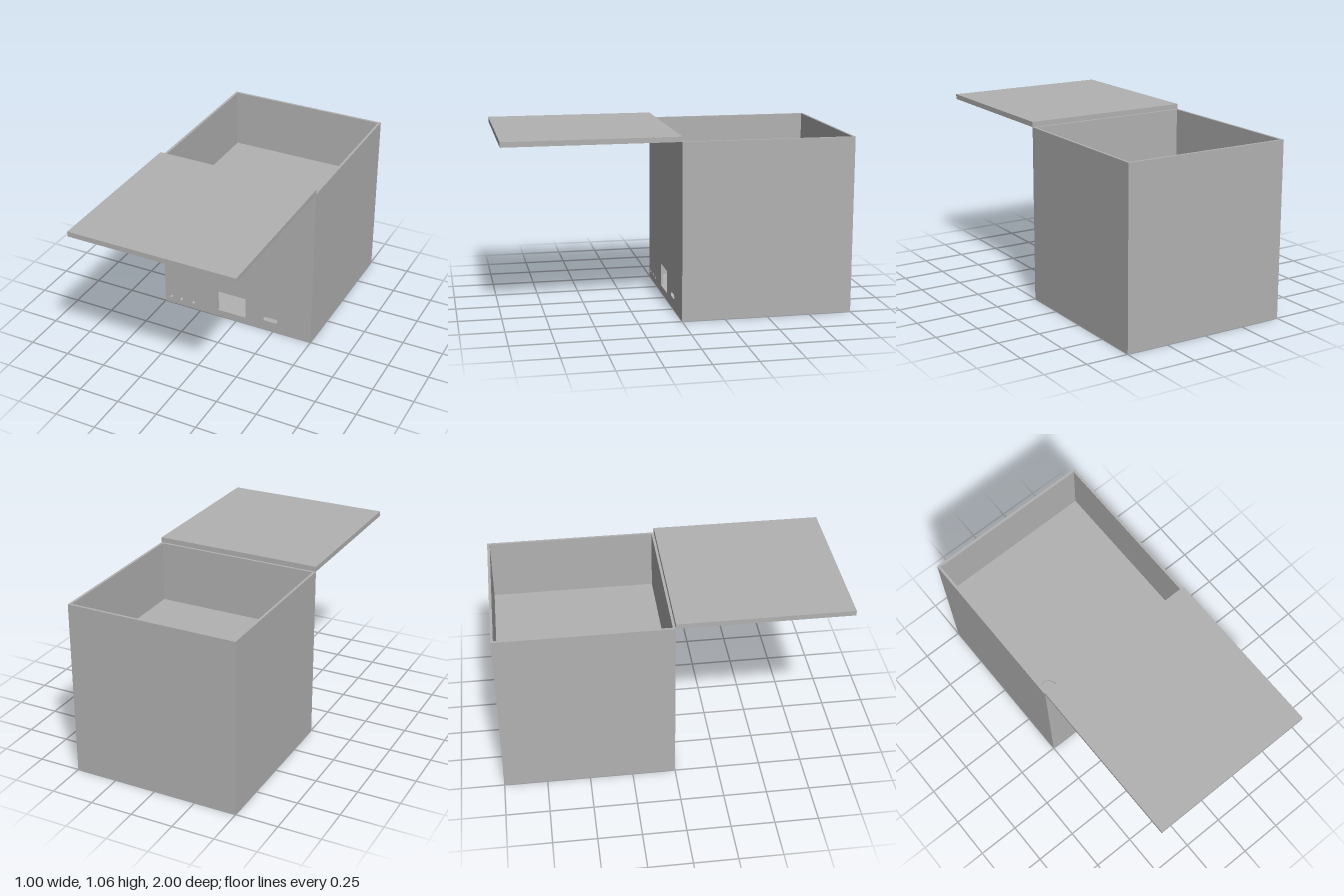
import * as THREE from 'three';

const W = 1, H = 1.03, T = 0.015, LID = 0.03;

// Rounded slot outline; a round hole when the half length is 0
function slotHole(x, y, r, half = 0) {
  const p = new THREE.Path();
  p.absarc(x + half, y, r, -Math.PI / 2, Math.PI / 2, false);
  p.absarc(x - half, y, r, Math.PI / 2, Math.PI * 1.5, false);
  p.closePath();
  return p;
}

function rect(Type, x0, y0, x1, y1) {
  return new Type([[x0, y0], [x1, y0], [x1, y1], [x0, y1]].map(([x, y]) => new THREE.Vector2(x, y)));
}

export function createModel() {
  const group = new THREE.Group();
  const grey = new THREE.MeshStandardMaterial({ color: 0xb2b2b2 });
  grey.name = 'plainGrey';

  const add = (name, geometry, x, y, z) => {
    const mesh = new THREE.Mesh(geometry, grey);
    mesh.name = name;
    mesh.position.set(x, y, z);
    group.add(mesh);
    return mesh;
  };
  const box = (name, w, h, d, x, y, z) => add(name, new THREE.BoxGeometry(w, h, d), x, y, z);
  const plate = (shape, depth) =>
    new THREE.ExtrudeGeometry(shape, { depth, bevelEnabled: false, curveSegments: 16 });

  // Front wall with three indicator holes, display window and slot
  const front = rect(THREE.Shape, -W / 2, 0, W / 2, H);
  for (const x of [-0.458, -0.385, -0.3]) front.holes.push(slotHole(x, 0.047, 0.011));
  front.holes.push(rect(THREE.Path, -0.13, 0.044, 0.062, 0.182));
  front.holes.push(slotHole(0.231, 0.079, 0.014, 0.035));
  add('frontWall', plate(front, T), 0, 0, -T);

  // Remaining walls
  box('backWall', W, H, T, 0, H / 2, -W + T / 2);
  for (const [name, s] of [['leftWall', 1], ['rightWall', -1]]) {
    box(name, T, H, W - 2 * T, s * (W - T) / 2, H / 2, -W / 2);
  }

  // Bottom of the electronics compartment
  box('bottom', W - 2 * T, T, W - 2 * T, 0, T / 2, -W / 2);

  // Raised inner floor with a round cable hole
  const inner = W / 2 - T;
  const floor = rect(THREE.Shape, -inner, -inner, inner, inner);
  floor.holes.push(slotHole(-0.397, -0.37, 0.049));
  add('innerFloor', plate(floor, T), 0, 0.667 - T, -W / 2).rotation.x = -Math.PI / 2;

  // Lid opened forward, resting level with the rim
  box('lid', W, LID, W, 0, H + LID / 2, W / 2);

  return group;
}
